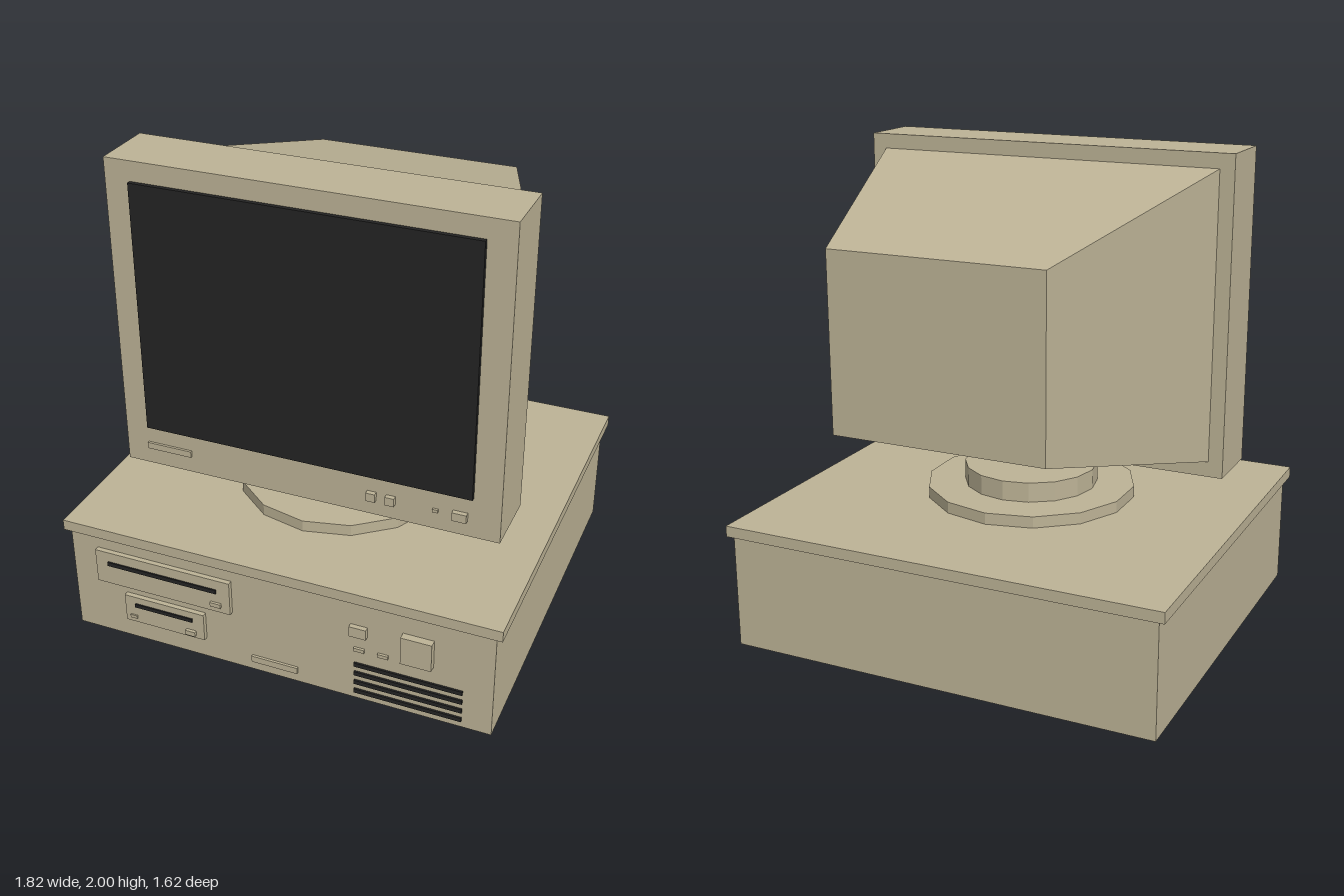
import * as THREE from 'three';

export function createModel() {
  const model = new THREE.Group();
  const beige = new THREE.MeshStandardMaterial({ name: 'beige plastic', color: 0xbdb396 });
  const dark = new THREE.MeshStandardMaterial({ name: 'dark glass and slots', color: 0x232323 });

  const add = (parent, name, geometry, material = beige) => {
    const mesh = new THREE.Mesh(geometry, material);
    mesh.name = name;
    parent.add(mesh);
    return mesh;
  };
  // Box given by its limits on each axis
  const box = (parent, name, x0, x1, y0, y1, z0, z1, material) => {
    const mesh = add(parent, name, new THREE.BoxGeometry(x1 - x0, y1 - y0, z1 - z0), material);
    mesh.position.set((x0 + x1) / 2, (y0 + y1) / 2, (z0 + z1) / 2);
    return mesh;
  };
  const group = (name) => {
    const g = new THREE.Group();
    g.name = name;
    model.add(g);
    return g;
  };

  // Desktop case
  const F = 0.78;
  const computer = group('computerCase');
  box(computer, 'caseBody', -0.885, 0.885, 0.065, 0.53, -0.795, F);
  box(computer, 'caseLid', -0.91, 0.91, 0.53, 0.575, -0.81, 0.795);
  for (const x of [-0.81, 0.655])
    for (const z of [0.51, -0.68])
      box(computer, 'foot', x, x + 0.155, 0.005, 0.065, z, z + 0.155);

  // Large disk drive
  box(computer, 'largeDrive', -0.77, -0.18, 0.323, 0.473, F, 0.8);
  box(computer, 'largeDriveSlot', -0.715, -0.237, 0.412, 0.43, F, 0.806, dark);
  box(computer, 'largeDriveButton', -0.262, -0.217, 0.35, 0.368, F, 0.81);

  // Small disk drive
  box(computer, 'smallDrive', -0.652, -0.3, 0.16, 0.283, F, 0.8);
  box(computer, 'smallDriveSlot', -0.605, -0.35, 0.237, 0.253, F, 0.806, dark);
  box(computer, 'smallDriveButton', -0.378, -0.336, 0.175, 0.196, F, 0.813);
  box(computer, 'smallDriveLight', -0.63, -0.6, 0.18, 0.194, F, 0.806);

  // Switches, lights and badge plate
  box(computer, 'resetButton', 0.317, 0.386, 0.376, 0.421, F, 0.8);
  box(computer, 'powerSwitch', 0.527, 0.65, 0.318, 0.441, F, 0.81);
  for (const x of [0.332, 0.428]) box(computer, 'caseLight', x, x + 0.043, 0.3, 0.315, F, 0.79);
  box(computer, 'casePlate', -0.1, 0.095, 0.108, 0.136, F, 0.79);

  // Vent slits
  for (let i = 0; i < 4; i++) {
    const y = 0.103 + i * 0.043;
    box(computer, 'ventSlit', 0.333, 0.767, y - 0.009, y + 0.009, F, 0.788, dark);
  }

  // Swivel stand, two faceted discs
  const stand = group('swivelStand');
  const disc = (name, r, y0, y1, sides) => {
    const geometry = new THREE.CylinderGeometry(r, r, y1 - y0, sides).toNonIndexed();
    geometry.computeVertexNormals();
    add(stand, name, geometry).position.set(0, (y0 + y1) / 2, 0.07);
  };
  disc('lowerDisc', 0.432, 0.575, 0.622, 14);
  disc('upperDisc', 0.275, 0.622, 0.703, 16);

  // Monitor
  const M = 0.46;
  const monitor = group('monitor');
  box(monitor, 'bezel', -0.787, 0.787, 0.703, 2, 0.19, M);
  box(monitor, 'screen', -0.683, 0.678, 0.878, 1.92, M, 0.478, dark);

  // Tube housing, a box tapered towards the back
  const housing = new THREE.BoxGeometry(1, 1, 1).toNonIndexed();
  const p = housing.attributes.position;
  for (let i = 0; i < p.count; i++) {
    const front = p.getZ(i) > 0;
    const top = p.getY(i) > 0;
    const halfWidth = front ? 0.727 : 0.435;
    const y = front ? (top ? 1.94 : 0.767) : (top ? 1.705 : 1.0);
    p.setXYZ(i, Math.sign(p.getX(i)) * halfWidth, y, front ? 0.19 : -0.75);
  }
  housing.computeVertexNormals();
  add(monitor, 'tubeHousing', housing);

  // Bezel plate, buttons and light
  box(monitor, 'bezelPlate', -0.69, -0.497, 0.775, 0.802, M, 0.47);
  for (const [x0, x1] of [[0.255, 0.292], [0.333, 0.37], [0.6, 0.658]])
    box(monitor, 'bezelButton', x0, x1, 0.77, 0.806, M, 0.48);
  box(monitor, 'bezelLight', 0.52, 0.542, 0.781, 0.794, M, 0.47);

  return model;
}
